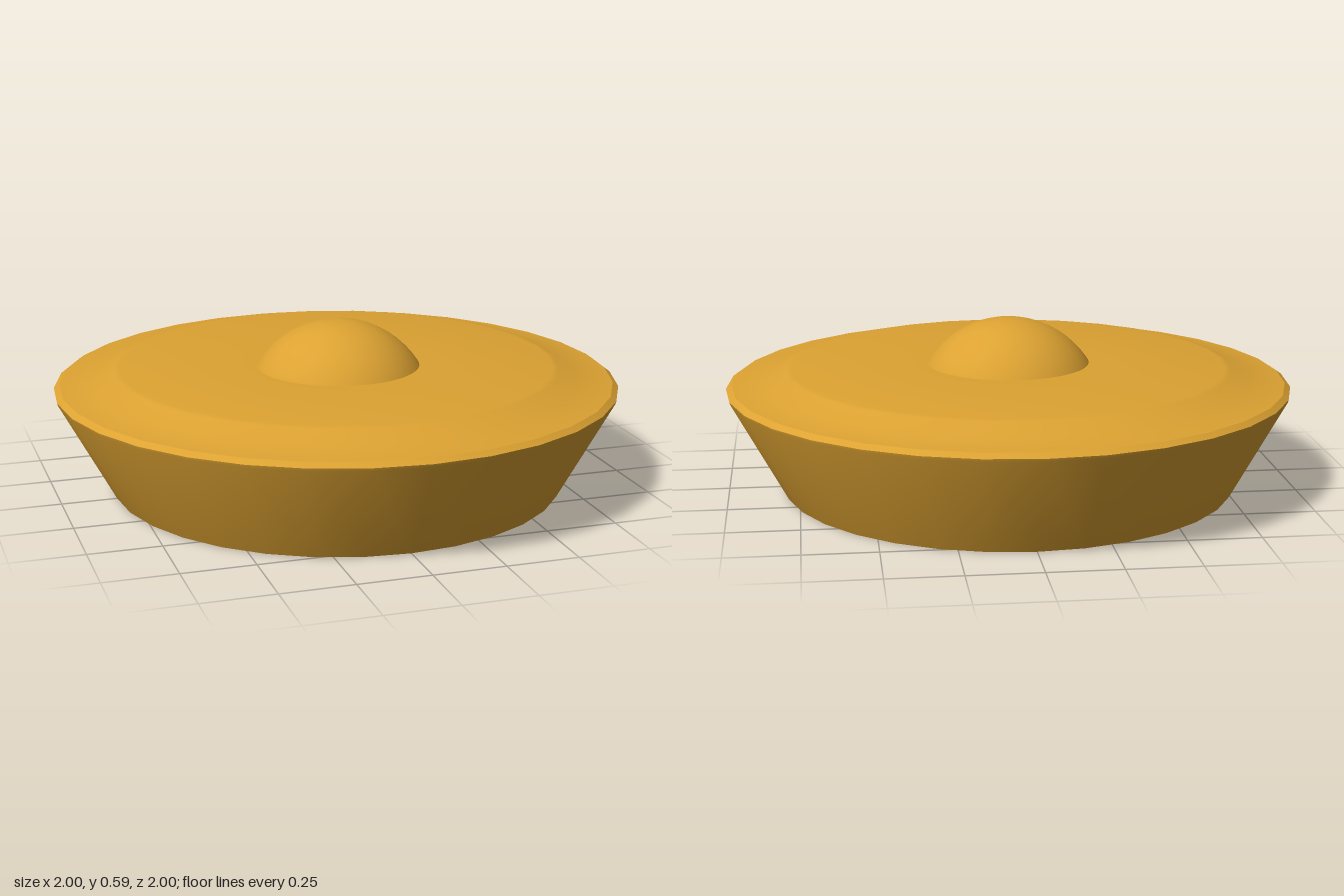
import * as THREE from 'three';
import { toCreasedNormals } from 'three/addons/utils/BufferGeometryUtils.js';

const DOME_Z = 0.03;

export function createModel() {
  const model = new THREE.Group();
  model.name = 'domedDish';
  const brass = new THREE.MeshStandardMaterial({ color: 0xdca232, side: THREE.DoubleSide });
  brass.name = 'golden brass';

  // Hollow dish as one closed profile: outside up, over the top, then back along the underside
  const profile = [
    [0.805, 0], [0.997, 0.355], [1.0, 0.365], [0.98, 0.38], // flared wall and rounded lip
    [0.86, 0.392], [0.79, 0.427], [0.77, 0.431],            // rim and raised centre
    [0.285, 0.431], [0.3, 0.41],                            // hole beneath the dome
    [0.78, 0.41], [0.96, 0.345], [0.78, 0], [0.805, 0],     // hollow underside and foot
  ].map(([r, y]) => new THREE.Vector2(r, y));
  const dishGeometry = new THREE.LatheGeometry(profile, 32);

  // Shift the hole so it sits under the slightly offset dome
  const pos = dishGeometry.attributes.position;
  for (let i = 0; i < pos.count; i++) {
    if (Math.hypot(pos.getX(i), pos.getZ(i)) < 0.4) pos.setZ(i, pos.getZ(i) + DOME_Z);
  }
  const dish = new THREE.Mesh(toCreasedNormals(dishGeometry, 0.4), brass);
  dish.name = 'dish';
  model.add(dish);

  // Open hemisphere passing through the dish, its rim hanging below the plate
  const dome = new THREE.Mesh(
    new THREE.SphereGeometry(0.343, 48, 16, 0, Math.PI * 2, 0, Math.PI / 2), brass);
  dome.name = 'dome';
  dome.position.set(-0.003, 0.247, DOME_Z);
  model.add(dome);

  return model;
}
